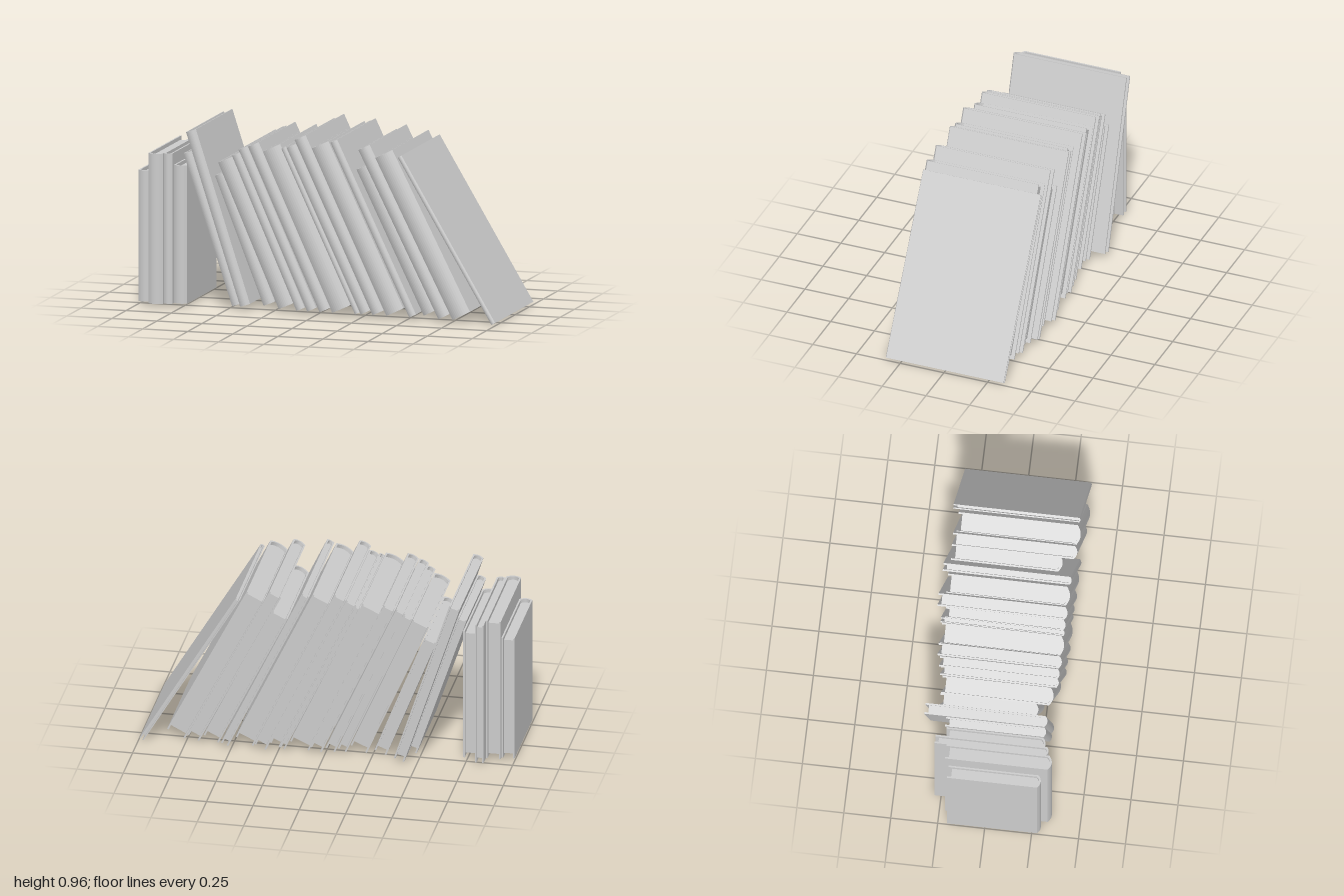
import * as THREE from 'three';

const material = new THREE.MeshStandardMaterial({ color: 0xcccccc });
const COVER = 0.009; // board thickness
const LIP = 0.02; // how far the boards overhang the pages

// One row per book: x of lower left corner, lean in degrees, height, thickness, back z, front z
const BOOKS = [
  [-1.0, 0, 0.705, 0.07, -0.2, 0.295],
  [-0.93, 0, 0.807, 0.08, -0.22, 0.345],
  [-0.85, 0, 0.807, 0.047, -0.285, 0.32],
  [-0.803, 0, 0.742, 0.073, -0.235, 0.297],
  [-0.48, 18.5, 0.85, 0.05, -0.24, 0.295],
  [-0.435, 18, 0.97, 0.058, -0.353, 0.3],
  [-0.326, 21.5, 0.736, 0.068, -0.29, 0.235],
  [-0.22, 23.6, 0.84, 0.095, -0.285, 0.31],
  [-0.112, 23.7, 0.89, 0.05, -0.3, 0.33],
  [-0.053, 24.2, 0.93, 0.055, -0.31, 0.33],
  [0.016, 24.5, 0.955, 0.065, -0.325, 0.335],
  [0.085, 24.8, 0.93, 0.112, -0.32, 0.335],
  [0.214, 25.2, 0.96, 0.028, -0.33, 0.33],
  [0.243, 25.3, 0.965, 0.06, -0.31, 0.33],
  [0.31, 25.2, 1.015, 0.068, -0.355, 0.335],
  [0.385, 25.4, 0.97, 0.105, -0.32, 0.335],
  [0.515, 25.5, 1.015, 0.042, -0.35, 0.335],
  [0.572, 26, 0.85, 0.09, -0.32, 0.27],
  [0.678, 26.6, 0.99, 0.07, -0.32, 0.345],
  [0.757, 26.9, 0.95, 0.108, -0.305, 0.35],
  [0.974, 30.8, 1.015, 0.024, -0.338, 0.338],
];

// Points along a shallow bow from x0 to x1 that bulges in depth
function bow(x0, x1, z, bulge, steps = 10) {
  return Array.from({ length: steps + 1 }, (_, i) => {
    const t = i / steps;
    return new THREE.Vector2(x0 + (x1 - x0) * t, z + bulge * 4 * t * (1 - t));
  });
}

// Stand a flat (x, z) outline up between two heights
function upright(points, low, high) {
  // shape y is -z, so that the extrusion turns upwards
  const shape = new THREE.Shape(points.map((p) => new THREE.Vector2(p.x, -p.y)));
  const geometry = new THREE.ExtrudeGeometry(shape, { depth: high - low, bevelEnabled: false });
  geometry.rotateX(-Math.PI / 2);
  geometry.translate(0, low, 0);
  return geometry;
}

function createBook(height, thick, back, front) {
  const book = new THREE.Group();
  const board = Math.min(COVER, thick * 0.25);
  const bulge = Math.min(0.02, thick * 0.22);
  const hinge = front - bulge;
  const v = (x, z) => new THREE.Vector2(x, z);

  // Two boards joined by the rounded spine
  const outline = [
    v(0, back), ...bow(0, thick, hinge, bulge), v(thick, back),
    v(thick - board, back), ...bow(thick - board, board, hinge - board, bulge), v(board, back),
  ];
  const cover = new THREE.Mesh(upright(outline, 0, height), material);
  cover.name = 'cover';

  // Page block, set in from the boards and filling the spine
  const block = [v(board, back + LIP), ...bow(board, thick - board, hinge - board, bulge), v(thick - board, back + LIP)];
  const pages = new THREE.Mesh(upright(block, LIP, height - LIP), material);
  pages.name = 'pages';

  book.add(cover, pages);
  return book;
}

export function createModel() {
  const row = new THREE.Group();
  row.name = 'bookRow';
  BOOKS.forEach(([x, lean, height, thick, back, front], i) => {
    const book = createBook(height, thick, back, front);
    book.name = `${lean ? 'leaningBook' : 'uprightBook'}${i + 1}`;
    book.position.set(x, i === BOOKS.length - 1 ? 0 : 0.015, 0);
    book.rotation.z = THREE.MathUtils.degToRad(lean);
    row.add(book);
  });
  return row;
}
